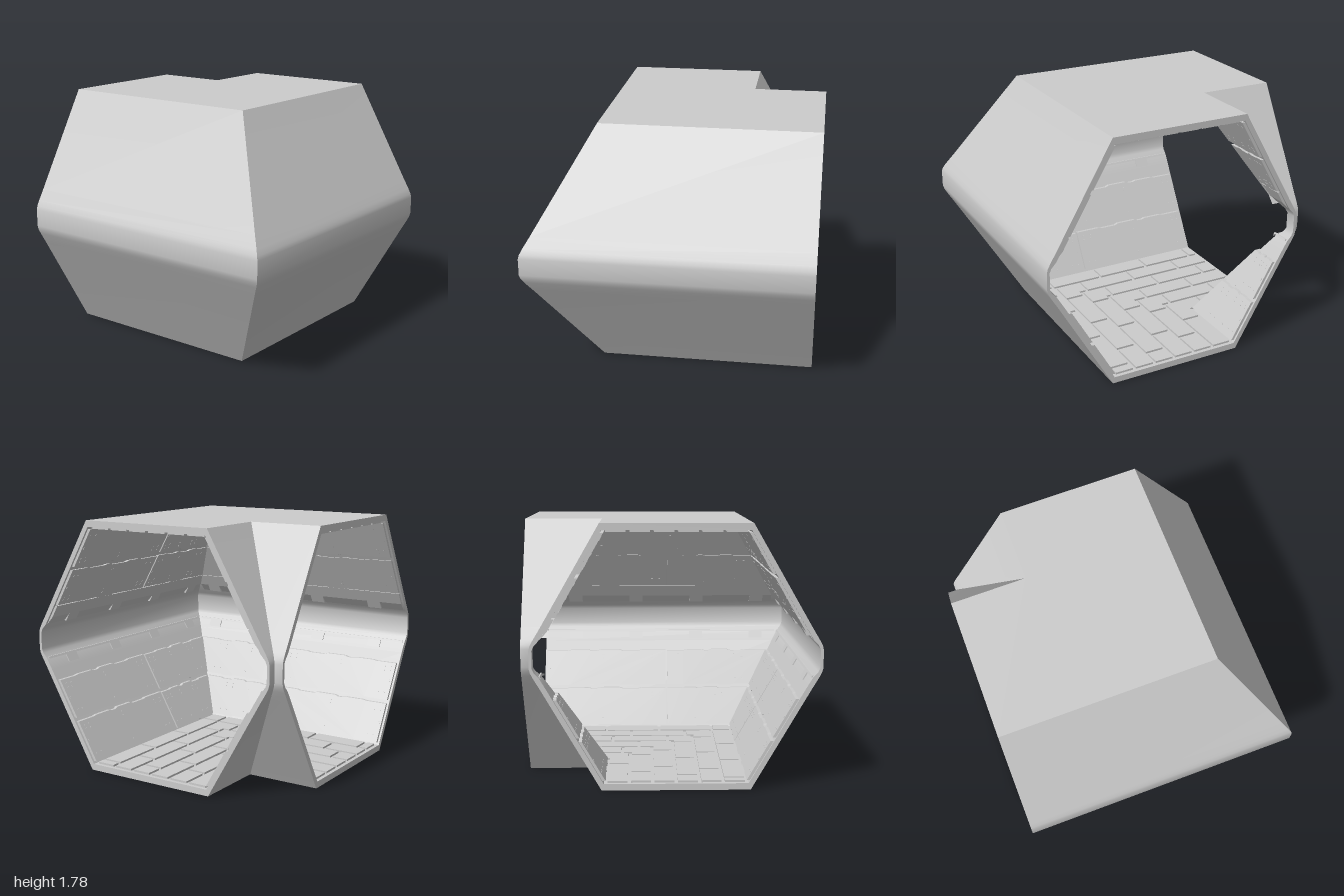
import * as THREE from 'three';
import { mergeGeometries, toCreasedNormals } from 'three/addons/utils/BufferGeometryUtils.js';

const MID = 0.892;      // height of the waist
const OFF = 0.03;       // offset of the tube centre line
const SLOPE = 0.577;
const INNER_H = 0.847;  // half height of the inside
const FACE = 0.9747;    // inner wall: u = FACE - SLOPE * h
const END = 0.985;      // linings stop just inside the rim
const grey = new THREE.MeshStandardMaterial({ color: 0xcccccc });

// full hexagonal section from one quarter: points are [u, h]
function section(quarter) {
  const right = [...quarter, ...quarter.map(([u, h]) => [u, -h]).reverse()];
  return [...right, ...right.map(([u, h]) => [-u, h]).reverse()];
}

// section placed at the x end, at the mitre, and at the back end
const stations = [
  ([u, h]) => [1, MID + h, OFF + u],
  ([u, h]) => [-OFF - u, MID + h, OFF + u],
  ([u, h]) => [-OFF - u, MID + h, -1],
];

function shellGeometry() {
  const outer = section([[0.5, 0.892], [0.899, 0.2], [0.944, 0.125], [0.963, 0.088], [0.97, 0.06]]);
  const inner = section([[0.486, INNER_H], [0.859, 0.2], [0.904, 0.125], [0.938, 0.088], [0.95, 0.06]]);
  const pos = [];
  const quad = (a, b, c, d) => pos.push(...a, ...b, ...c, ...a, ...c, ...d);
  const [front, , back] = stations;
  outer.forEach((o, i) => {
    const j = (i + 1) % outer.length;
    const o2 = outer[j], n = inner[i], n2 = inner[j];
    for (let k = 0; k < 2; k++) {
      const p = stations[k], q = stations[k + 1];
      quad(p(o), q(o), q(o2), p(o2));
      quad(p(n2), q(n2), q(n), p(n));
    }
    // rims of the two openings
    quad(front(o), front(o2), front(n2), front(n));
    quad(back(o), back(n), back(n2), back(o2));
  });
  const geo = new THREE.BufferGeometry();
  geo.setAttribute('position', new THREE.Float32BufferAttribute(pos, 3));
  return toCreasedNormals(geo, 0.7);
}

// reverse every triangle of a non-indexed geometry
function flip(geo) {
  const p = geo.attributes.position;
  const a = new THREE.Vector3(), b = new THREE.Vector3();
  for (let i = 0; i < p.count; i += 3) {
    a.fromBufferAttribute(p, i + 1);
    b.fromBufferAttribute(p, i + 2);
    p.setXYZ(i + 1, b.x, b.y, b.z);
    p.setXYZ(i + 2, a.x, a.y, a.z);
  }
}

// apply a matrix, keep faces outward, drop unused data
function place(source, matrix) {
  const geo = source.index ? source.toNonIndexed() : source.clone();
  geo.deleteAttribute('uv');
  geo.applyMatrix4(matrix);
  if (matrix.determinant() < 0) flip(geo);
  geo.computeVertexNormals();
  return geo;
}

// plate from an outline of [a, b] points
function plate(points, depth) {
  const shape = new THREE.Shape(points.map(([x, y]) => new THREE.Vector2(x, y)));
  return new THREE.ExtrudeGeometry(shape, { depth, bevelEnabled: false });
}

// local axes of a wall: along, height from waist, inward
function wallMatrix(side, up) {
  return new THREE.Matrix4().set(
    1, 0, 0, 0,
    0, up, 0, MID,
    0, -side * SLOPE, -side, OFF + side * FACE,
    0, 0, 0, 1);
}

// local axes of the floor or ceiling: along, across, inward
function deckMatrix(up) {
  return new THREE.Matrix4().set(
    1, 0, 0, 0,
    0, 0, -up, MID + up * INNER_H,
    0, 1, 0, 0,
    0, 0, 0, 1);
}

// where a wall lining meets the lining of the other arm
const mitre = (side, h) => -OFF - side * (FACE - SLOPE * h - 0.022);

// slightly uneven panel edge
function steppedEdge(s0, s1, h, step) {
  const pts = [[s0, h]];
  for (const [t, k] of [[0.2, 1], [0.36, -0.5], [0.55, 1], [0.62, 0], [0.8, 0.8]]) {
    const s = s0 + (s1 - s0) * t, last = pts[pts.length - 1][1];
    pts.push([s, last], [s + (s1 - s0) * 0.03, h + step * k]);
  }
  return [...pts, [s1, pts[pts.length - 1][1]]];
}

function wallPanels(side) {
  const panels = [], bolts = [];
  const spans = side > 0 ? [[null, -0.007], [0.007, END]] : [[null, END]];
  for (const [h0, h1] of [[0.27, 0.53], [0.555, 0.825]]) {
    for (const [from, to] of spans) {
      const a0 = from ?? mitre(side, h0), a1 = from ?? mitre(side, h1);
      panels.push(plate([...steppedEdge(a0, to, h0, 0.006), ...steppedEdge(a1, to, h1, 0.006).reverse()], 0.022));
      const start = Math.max(a0, a1) + 0.05;
      for (const h of [h0 + 0.035, h0 + 0.06, h1 - 0.045]) {
        for (const s of [start, start + 0.06, (start + to) / 2, to - 0.09, to - 0.04]) {
          if (s < start - 0.01 || s > to - 0.02) continue;
          bolts.push(new THREE.BoxGeometry(0.015, 0.008, 0.006).translate(s, h, 0.022));
        }
      }
      bolts.push(new THREE.BoxGeometry(0.01, 0.014, 0.006).translate(to - 0.02, (h0 + h1) / 2, 0.022));
    }
  }
  return { panels, bolts };
}

const TABS = [-0.75, -0.25, 0.25, 0.75];
const LOW = 0.125, HIGH = 0.18;

// lower strip beside the waist, with tabs reaching over the wall
function lowerSkirt(side) {
  const edge = LOW + 0.004, s0 = mitre(side, LOW);
  const top = [[s0, edge]];
  for (const c of TABS.filter((t) => t - 0.06 > s0)) {
    top.push([c - 0.055, edge], [c - 0.055, HIGH], [c + 0.055, HIGH], [c + 0.055, edge]);
  }
  return [plate([[s0, LOW - 0.01], [END, LOW - 0.01], [END, edge], ...top.reverse()], 0.008)];
}

// upper skirt: a plate with tabs hanging down and a bevelled edge between them
function upperSkirt(side) {
  const depth = 0.02, s0 = mitre(side, HIGH);
  const tabs = TABS.filter((t) => t - 0.06 > mitre(side, LOW));
  const bottom = [[s0, HIGH]];
  for (const c of tabs) bottom.push([c - 0.055, HIGH], [c - 0.055, LOW], [c + 0.055, LOW], [c + 0.055, HIGH]);
  const parts = [plate([...bottom, [END, HIGH], [END, 0.266], [mitre(side, 0.266), 0.266]], depth)];
  const stops = [s0, ...tabs.flatMap((c) => [c - 0.055, c + 0.055]), END];
  const toAlong = new THREE.Matrix4().set(0, 0, 1, 0, 1, 0, 0, 0, 0, 1, 0, 0, 0, 0, 0, 1);
  for (let i = 0; i < stops.length; i += 2) {
    const bevel = plate([[LOW, 0], [HIGH, 0], [HIGH, depth]], stops[i + 1] - stops[i]);
    parts.push(bevel.translate(0, 0, stops[i]).applyMatrix4(toAlong));
  }
  return parts;
}

// staggered planks, cut along the mitre so both arms join into L shapes
function planks() {
  const list = [], zMin = -0.445, zMax = 0.505, gap = 0.012, length = 0.42;
  const shifts = [0, 0.2, 0.08, 0.28, 0.14, 0.34];
  const width = (zMax - zMin) / shifts.length;
  shifts.forEach((shift, r) => {
    const z0 = zMin + r * width + gap, z1 = zMin + (r + 1) * width - gap;
    for (let x1 = END + shift; x1 - gap > -z1 + 0.02; x1 -= length) {
      const right = Math.min(x1, END) - gap, left = x1 - length + gap;
      const pts = [[right, Math.max(z0, -right)], [right, z1], [Math.max(left, -z1), z1]];
      if (left > -z1 && left < -z0) pts.push([left, -left]);
      if (right > -z0) pts.push([Math.max(left, -z0), z0]);
      list.push(plate(pts, 0.014));
    }
  });
  return list;
}

export function createModel() {
  const model = new THREE.Group();
  model.name = 'cornerCorridor';
  const add = (parent, name, geos, matrix) => {
    const mesh = new THREE.Mesh(mergeGeometries(geos.map((g) => place(g, matrix))), grey);
    mesh.name = name;
    parent.add(mesh);
  };

  const shell = new THREE.Mesh(shellGeometry(), grey);
  shell.name = 'hullShell';
  model.add(shell);

  // both arms share one lining, reflected across the mitre
  const reflect = new THREE.Matrix4().set(0, 0, -1, 0, 0, 1, 0, 0, -1, 0, 0, 0, 0, 0, 0, 1);
  for (const [name, arm] of [['sideArm', new THREE.Matrix4()], ['backArm', reflect]]) {
    const group = new THREE.Group();
    group.name = name;
    model.add(group);
    for (const up of [1, -1]) {
      for (const side of [1, -1]) {
        const wall = (up > 0 ? 'upper' : 'lower') + (side > 0 ? 'Outer' : 'Inner');
        const matrix = arm.clone().multiply(wallMatrix(side, up));
        const { panels, bolts } = wallPanels(side);
        add(group, wall + 'WallPanels', panels, matrix);
        add(group, wall + 'Bolts', bolts, matrix);
        add(group, wall + 'Skirt', up > 0 ? upperSkirt(side) : lowerSkirt(side), matrix);
      }
      add(group, up > 0 ? 'ceilingPlanks' : 'floorPlanks', planks(), arm.clone().multiply(deckMatrix(up)));
    }
  }
  return model;
}
